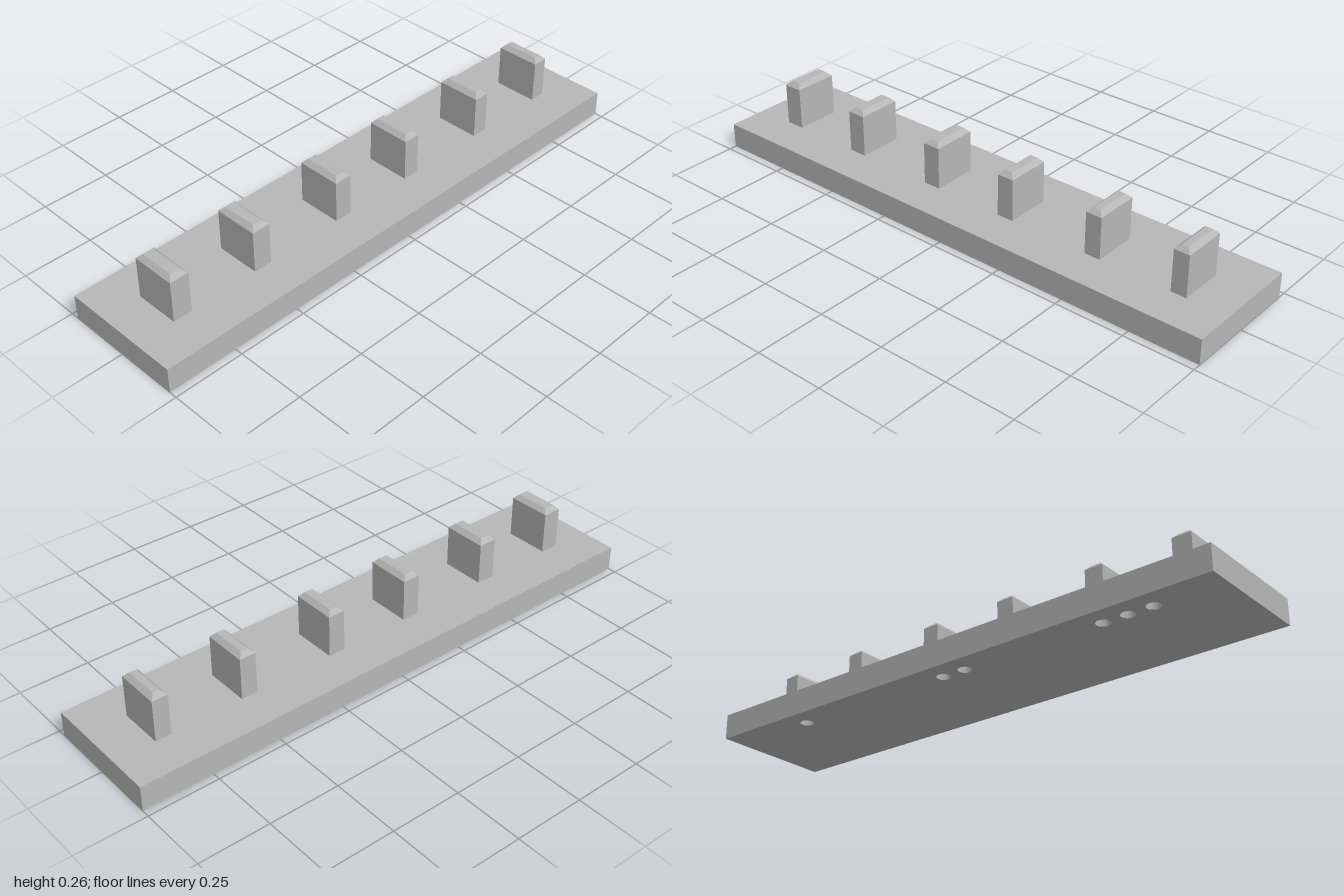
import * as THREE from 'three';

const WIDTH = 2, DEPTH = 0.444, HEIGHT = 0.09;
const HOLE_DEPTH = 0.045, HOLE_RADIUS = 0.024, HOLE_Z = -0.143;
const POST_DEPTH = 0.16, POST_TOP = 0.24, CHAMFER = 0.016;

export function createModel() {
  const model = new THREE.Group();
  const grey = new THREE.MeshStandardMaterial({ color: 0xb6b6b6 });
  grey.name = 'plain grey';

  const add = (name, geometry, parent, x, y, z) => {
    const mesh = new THREE.Mesh(geometry, grey);
    mesh.name = name;
    mesh.position.set(x, y, z);
    parent.add(mesh);
  };

  // Base: a solid upper layer over a lower layer pierced by the blind holes
  const base = new THREE.Group();
  base.name = 'base';
  model.add(base);
  const upper = HEIGHT - HOLE_DEPTH;
  add('baseUpper', new THREE.BoxGeometry(WIDTH, upper, DEPTH), base, 0, HOLE_DEPTH + upper / 2, 0);

  const w = WIDTH / 2, d = DEPTH / 2;
  const outline = new THREE.Shape([[-w, -d], [w, -d], [w, d], [-w, d]].map(p => new THREE.Vector2(...p)));
  // Groups of one, two and three marker holes along the back edge
  [0.667, 0, -0.667].forEach((centre, group) => {
    for (let i = 0; i <= group; i++) {
      const x = centre + (i - group / 2) * 0.089;
      outline.holes.push(new THREE.Path().absarc(x, -HOLE_Z, HOLE_RADIUS, 0, Math.PI * 2, true));
    }
  });
  const lower = new THREE.ExtrudeGeometry(outline, { depth: HOLE_DEPTH, bevelEnabled: false, curveSegments: 24 });
  lower.rotateX(-Math.PI / 2);
  add('baseLower', lower, base, 0, 0, 0);

  // Posts: each slightly thinner than the last, with a chamfered top
  [-0.826, -0.508, -0.159, 0.159, 0.508, 0.826].forEach((x, i) => {
    const post = new THREE.Group();
    post.name = 'post' + (i + 1);
    post.position.x = x;
    model.add(post);
    const width = 0.069 - i * 0.0026;
    const h = POST_TOP - HEIGHT;
    add('postBody', new THREE.BoxGeometry(width, h, POST_DEPTH), post, 0, HEIGHT + h / 2, 0);

    const cap = new THREE.BoxGeometry(width, CHAMFER, POST_DEPTH);
    const p = cap.attributes.position;
    for (let v = 0; v < p.count; v++) {
      if (p.getY(v) < 0) continue;
      p.setX(v, p.getX(v) - Math.sign(p.getX(v)) * CHAMFER);
      p.setZ(v, p.getZ(v) - Math.sign(p.getZ(v)) * CHAMFER);
    }
    cap.computeVertexNormals();
    add('postCap', cap, post, 0, POST_TOP + CHAMFER / 2, 0);
  });

  return model;
}
